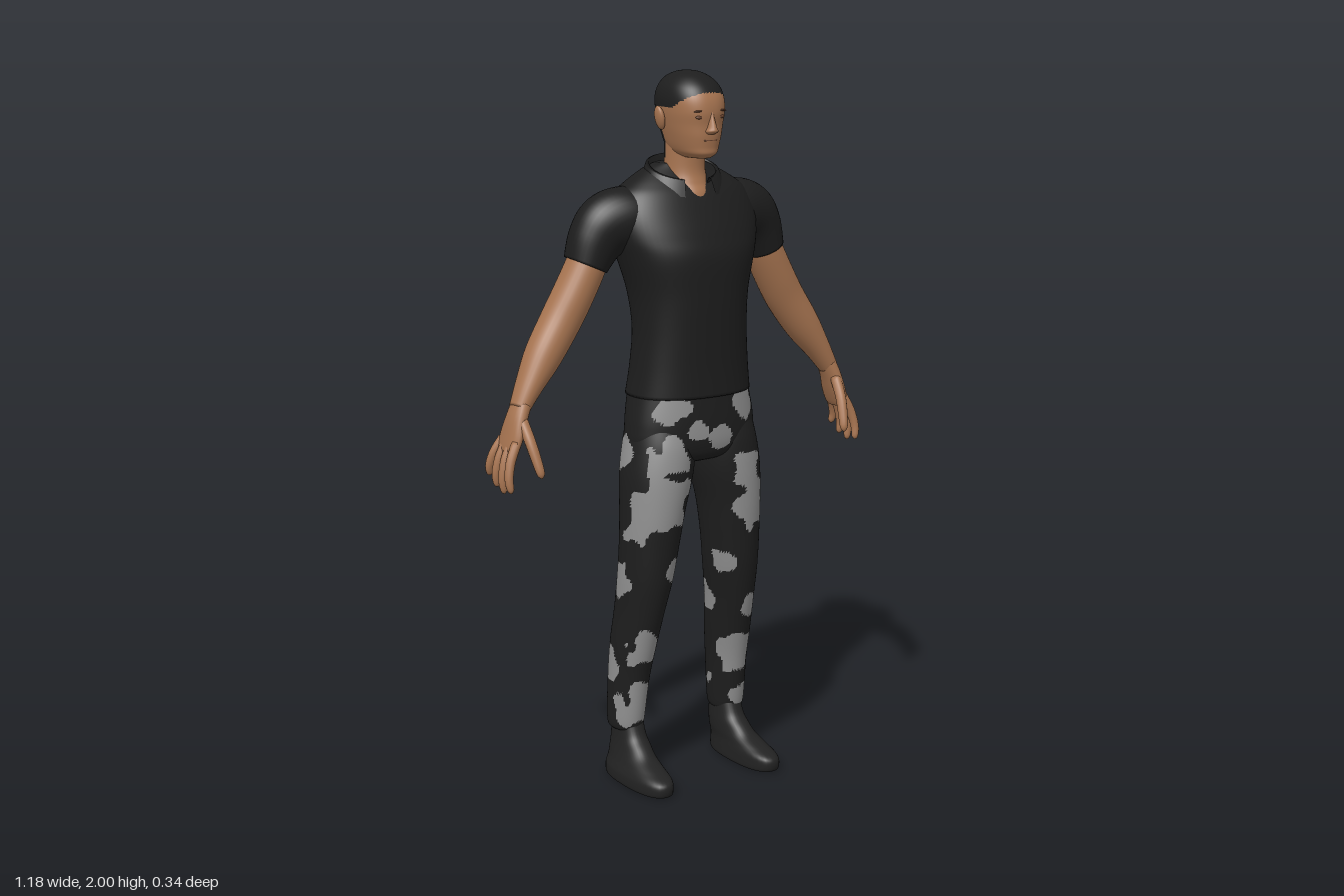
import * as THREE from 'three';

const mat = (name, color) => {
  const m = new THREE.MeshStandardMaterial({ color });
  m.name = name;
  return m;
};

// Smooth interpolation through a list of number rows
function spline(rows, u) {
  const n = rows.length - 1, f = Math.min(u * n, n - 1e-6), i = Math.floor(f), t = f - i;
  const r = k => rows[Math.max(0, Math.min(n, k))];
  return rows[i].map((b, k) => {
    const a = r(i - 1)[k], c = r(i + 1)[k], d = r(i + 2)[k];
    return 0.5 * (2 * b + (c - a) * t + (2 * a - 5 * b + 4 * c - d) * t * t + (3 * b - a - 3 * c + d) * t * t * t);
  });
}

// Horizontal section: height, centre x, half width, front z, back z
const slab = (y, x, rx, zf, zb) => [x, y, (zf + zb) / 2, rx, (zf - zb) / 2];

// Skin over sections [x, y, z, halfWidth, halfDepth]; pick(centroid) returns a material index
function loft(rows, { seg = 24, steps = 24, flat = false, pow = 1, pick = null, warp = null } = {}) {
  const pos = [], lists = [[], []], p = [];
  const rings = Array.from({ length: steps + 1 }, (_, i) => spline(rows, i / steps));
  const c = rings.map(r => new THREE.Vector3(r[0], r[1], r[2]));
  const bend = v => Math.sign(v) * Math.abs(v) ** pow;
  rings.forEach((r, i) => {
    const T = flat ? new THREE.Vector3(0, 1, 0)
      : c[Math.min(i + 1, steps)].clone().sub(c[Math.max(i - 1, 0)]).normalize();
    const Z = new THREE.Vector3(0, 0, 1).addScaledVector(T, -T.z).normalize();
    const N = T.clone().cross(Z);
    for (let j = 0; j < seg; j++) {
      const t = j / seg * Math.PI * 2;
      const v = c[i].clone().addScaledVector(N, r[3] * bend(Math.cos(t))).addScaledVector(Z, r[4] * bend(Math.sin(t)));
      if (warp) warp(v);
      p.push(v);
    }
  });
  p.push(c[0], c[steps]);
  p.forEach(v => pos.push(v.x, v.y, v.z));
  const tri = (a, b, d) => {
    const m = p[a].clone().add(p[b]).add(p[d]).divideScalar(3);
    lists[pick ? pick(m) : 0].push(a, b, d);
  };
  const end = (steps + 1) * seg;
  for (let j = 0; j < seg; j++) {
    const k = (j + 1) % seg, top = steps * seg;
    for (let i = 0; i < steps; i++) {
      const A = i * seg + j, B = i * seg + k, C = A + seg, D = B + seg;
      tri(A, C, B);
      tri(B, C, D);
    }
    tri(end, j, k);
    tri(end + 1, top + k, top + j);
  }
  const g = new THREE.BufferGeometry();
  g.setAttribute('position', new THREE.Float32BufferAttribute(pos, 3));
  g.setIndex([...lists[0], ...lists[1]]);
  g.computeVertexNormals();
  if (pick) {
    g.addGroup(0, lists[0].length, 0);
    g.addGroup(lists[0].length, lists[1].length, 1);
  }
  return g;
}

// Camouflage patches: x, y, z, radius
const patches = [
  [-.12, 1.1, .1, .05], [.12, 1.09, .1, .055], [-.05, 1.03, .12, .03], [.03, 1, .12, .035], [-.13, .96, .11, .05],
  [-.14, .84, .1, .08], [-.19, .76, .05, .05], [.13, .9, .11, .05], [.16, .8, .09, .07], [-.1, .63, .08, .04],
  [.07, .62, .06, .035], [.17, .48, .05, .035], [-.17, .4, .03, .045], [.15, .33, .02, .06], [-.16, .22, 0, .065],
  [.19, .19, 0, .035], [.21, .9, -.05, .05], [.21, .68, 0, .045], [.22, .5, -.03, .035], [.21, .25, -.09, .07],
  [-.21, .6, -.02, .045], [-.21, .95, -.03, .05], [-.21, .33, -.08, .05], [-.1, 1.09, -.11, .06], [.08, 1.1, -.12, .04],
  [.1, .91, -.1, .08], [-.13, .9, -.1, .065], [-.13, .62, -.1, .06], [.14, .66, -.09, .055], [-.15, .4, -.12, .06],
  [.17, .42, -.12, .045], [-.12, .22, -.11, .04], [.1, .5, -.04, .04], [-.06, .78, 0, .045],
];
function camo(v) {
  const w = Math.sin(v.x * 71 + v.y * 38) + Math.sin(v.y * 83 - v.z * 47 + 1) + Math.sin(v.z * 77 + v.x * 45 + v.y * 20);
  return patches.some(([x, y, z, r]) => Math.hypot(v.x - x, v.y - y, v.z - z) / r + w * .16 < 1.03) ? 1 : 0;
}

// Hairline: low at the nape, arched over the forehead
const hairline = v => {
  const line = v.z < -.03 ? 1.765 : v.z < .04 ? 1.905 : 1.905 + (v.z - .04) * .65;
  return v.y > line ? 1 : 0;
};

export function createModel() {
  const root = new THREE.Group();
  const skin = mat('skin', 0xa87551), hair = mat('hair', 0x1e1e1e), shirt = mat('shirt', 0x1d1d1d);
  const dark = mat('camoDark', 0x1e1e1e), grey = mat('camoGrey', 0x929292);
  const boot = mat('boot', 0x222222), shade = mat('faceDetail', 0x6b4531);
  shirt.side = THREE.DoubleSide;
  const add = (name, geo, m, parent = root) => {
    const mesh = new THREE.Mesh(geo, m);
    mesh.name = name;
    parent.add(mesh);
    return mesh;
  };
  const blob = (name, m, x, y, z, sx, sy, sz) => {
    const b = add(name, new THREE.SphereGeometry(1, 16, 12), m);
    b.position.set(x, y, z);
    b.scale.set(sx, sy, sz);
    return b;
  };

  // Head and neck
  add('head', loft([
    slab(1.77, 0, .03, .09, -.03), slab(1.782, 0, .048, .106, -.06), slab(1.80, 0, .058, .108, -.078),
    slab(1.83, 0, .067, .112, -.088), slab(1.86, 0, .074, .113, -.098), slab(1.895, 0, .08, .117, -.105),
    slab(1.93, 0, .081, .111, -.105), slab(1.96, 0, .072, .094, -.093), slab(1.983, 0, .052, .066, -.072),
    slab(1.996, 0, .027, .033, -.04), slab(2, 0, .003, .004, -.008),
  ], { flat: true, seg: 64, steps: 70, pow: .88, pick: hairline }), [skin, hair]);
  add('neck', loft([
    slab(1.62, 0, .06, .07, -.09), slab(1.67, 0, .062, .06, -.085), slab(1.7, 0, .06, .045, -.082),
    slab(1.74, 0, .056, .036, -.078), slab(1.82, 0, .056, .04, -.078),
  ], { flat: true, seg: 40, steps: 40, pick: hairline }), [skin, hair]);

  // Face
  add('nose', loft([
    slab(1.836, 0, .012, .118, .09), slab(1.844, 0, .018, .133, .09), slab(1.855, 0, .013, .131, .09),
    slab(1.88, 0, .008, .122, .09), slab(1.9, 0, .007, .116, .09),
  ], { flat: true, seg: 16, steps: 16 }), skin);
  blob('mouth', shade, 0, 1.82, .106, .023, .004, .005);
  for (const s of [1, -1]) {
    blob('eye', shade, s * .032, 1.882, .105, .014, .005, .006);
    blob('eyebrow', shade, s * .034, 1.899, .106, .018, .003, .006).rotation.z = s * -.1;
    blob('ear', skin, s * .085, 1.875, -.012, .011, .033, .02).rotation.z = s * -.2;
  }

  // Shirt body, with a shallow groove along the spine
  add('shirtBody', loft([
    slab(1.12, 0, .182, .125, -.135), slab(1.2, 0, .172, .125, -.124), slab(1.3, 0, .165, .128, -.12),
    slab(1.4, 0, .172, .131, -.14), slab(1.5, 0, .199, .13, -.163), slab(1.56, 0, .218, .112, -.17),
    slab(1.62, 0, .222, .085, -.167), slab(1.67, 0, .2, .058, -.15), slab(1.7, 0, .165, .034, -.132),
    slab(1.735, 0, .105, 0, -.11), slab(1.75, 0, .07, -.01, -.09),
  ], {
    flat: true, seg: 64, steps: 60, pow: .88,
    warp: v => { if (v.z < -.06) v.z += .018 * Math.exp(-((v.x / .035) ** 2)) * Math.exp(-(((v.y - 1.5) / .16) ** 2)); },
  }), shirt);

  // Folded collar, open at the front
  const cp = [], ci = [], n = 48;
  for (let i = 0; i <= n; i++) {
    const t = .4 + (Math.PI * 2 - .8) * i / n, s = Math.sin(t), k = Math.cos(t), y = 1.738 - .03 * k;
    for (const [rx, rz, cz, dy] of [[.082, .068, -.03, -.05], [.098, .075, -.03, 0], [.107, .083, -.03, -.002], [.124, .098, -.028, -.045]])
      cp.push(s * rx, y + dy, cz + k * rz);
    if (i < n) for (let j = 0; j < 3; j++) {
      const a = i * 4 + j;
      ci.push(a, a + 1, a + 4, a + 1, a + 5, a + 4);
    }
  }
  const cg = new THREE.BufferGeometry();
  cg.setAttribute('position', new THREE.Float32BufferAttribute(cp, 3));
  cg.setIndex(ci);
  cg.computeVertexNormals();
  add('collar', cg, shirt);

  // Trouser seat
  add('trouserSeat', loft([
    slab(.925, 0, .05, .05, -.05), slab(.945, 0, .13, .1, -.085), slab(.98, 0, .19, .117, -.108),
    slab(1.04, 0, .194, .122, -.118), slab(1.13, 0, .178, .12, -.128),
  ], { flat: true, seg: 128, steps: 36, pow: .9, pick: camo }), [dark, grey]);

  for (const s of [1, -1]) {
    const side = s > 0 ? 'left' : 'right';
    const mirror = rows => rows.map(([x, ...r]) => [s * x, ...r]);

    // Trouser leg
    add(side + 'TrouserLeg', loft(mirror([
      slab(.145, .17, .042, -.012, -.122), slab(.17, .171, .049, -.004, -.13), slab(.3, .166, .054, .016, -.13),
      slab(.4, .16, .06, .04, -.122), slab(.5, .152, .064, .066, -.108), slab(.6, .143, .073, .088, -.096),
      slab(.7, .135, .08, .101, -.09), slab(.8, .126, .088, .112, -.094), slab(.9, .112, .1, .118, -.104),
      slab(.98, .102, .098, .115, -.106), slab(1.04, .098, .09, .1, -.1),
    ]), { flat: true, seg: 72, steps: 110, pick: camo }), [dark, grey]);

    // Boot
    add(side + 'Boot', loft(mirror([
      slab(0, .18, .045, .15, -.122), slab(.006, .181, .054, .168, -.13), slab(.03, .181, .054, .172, -.131),
      slab(.045, .179, .051, .16, -.128), slab(.06, .176, .047, .12, -.126), slab(.08, .172, .044, .068, -.126),
      slab(.105, .169, .041, .035, -.124), slab(.13, .168, .039, .008, -.121), slab(.17, .168, .038, -.01, -.118),
    ]), { flat: true, seg: 36, steps: 40, pow: .85 }), boot);

    // Sleeve and arm
    add(side + 'Sleeve', loft(mirror([
      [.1, 1.605, -.045, .07, .085], [.17, 1.605, -.05, .088, .088], [.225, 1.588, -.057, .09, .083],
      [.262, 1.548, -.061, .078, .074], [.291, 1.486, -.064, .06, .067],
    ]), { seg: 36, steps: 28 }), shirt);
    add(side + 'Arm', loft(mirror([
      [.27, 1.53, -.062, .054, .058], [.298, 1.47, -.063, .055, .06], [.335, 1.4, -.065, .056, .06],
      [.373, 1.335, -.066, .056, .058], [.43, 1.25, -.06, .051, .054], [.48, 1.175, -.05, .036, .043],
      [.513, 1.12, -.043, .026, .034],
    ]), { seg: 28, steps: 36 }), skin);

    // Hand with spread fingers
    const hand = new THREE.Group();
    hand.name = side + 'Hand';
    root.add(hand);
    add('palm', loft(mirror([
      [.505, 1.135, -.043, .025, .034], [.522, 1.095, -.042, .024, .042], [.536, 1.05, -.044, .021, .052],
      [.549, 1.01, -.047, .016, .05], [.552, 1, -.047, .008, .04],
    ]), { seg: 24, steps: 20 }), skin, hand);
    const finger = (name, pts, r) => add(name, loft(mirror(pts.map((p, i) => {
      const k = r * [1.1, 1.05, .95, .75, .15][i];
      return [...p, k, k];
    })), { seg: 12, steps: 16 }), skin, hand);
    [['indexFinger', -.008, .014, .905], ['middleFinger', -.034, -.025, .897],
      ['ringFinger', -.06, -.065, .908], ['littleFinger', -.084, -.106, .932]].forEach(([name, z0, z1, y1]) =>
      finger(name, [0, .35, .7, .93, 1].map(t => [
        .542 + .034 * Math.sin(t * 2.1), 1.035 + (y1 - 1.035) * t, z0 + (z1 - z0) * t]), .0125));
    finger('thumb', [[.52, 1.09, -.015], [.515, 1.04, .018], [.508, .99, .04], [.503, .957, .052], [.502, .945, .055]], .0145);
  }
  return root;
}
